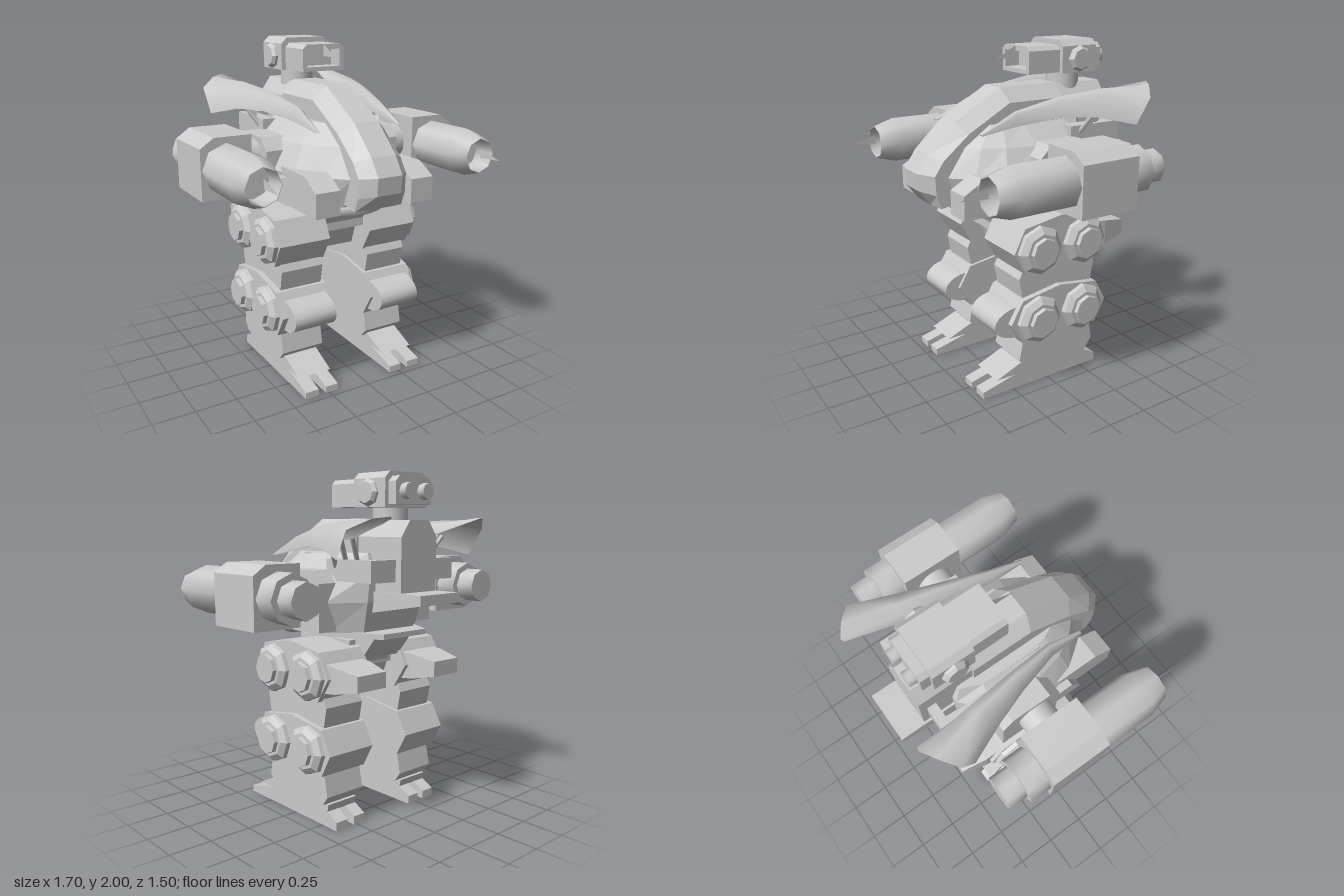
import * as THREE from 'three';
import { toCreasedNormals } from 'three/addons/utils/BufferGeometryUtils.js';

const FLAT = new THREE.MeshStandardMaterial({ color: 0xcccccc, flatShading: true });
const SMOOTH = new THREE.MeshStandardMaterial({ color: 0xcccccc });
const THIN = new THREE.MeshStandardMaterial({ color: 0xcccccc, side: THREE.DoubleSide });
const THIN_FLAT = new THREE.MeshStandardMaterial({ color: 0xcccccc, flatShading: true, side: THREE.DoubleSide });

export function createModel() {
  const root = new THREE.Group();
  root.name = 'walkerRobot';
  let parent = root;
  const add = (name, geo, mat = FLAT) => {
    const m = new THREE.Mesh(geo, mat);
    m.name = name;
    parent.add(m);
    return m;
  };
  const group = (name) => {
    parent = new THREE.Group();
    parent.name = name;
    root.add(parent);
  };
  const box = (name, xa, xb, y0, y1, z0, z1) => add(name,
    new THREE.BoxGeometry(Math.abs(xb - xa), y1 - y0, z1 - z0)
      .translate((xa + xb) / 2, (y0 + y1) / 2, (z0 + z1) / 2));
  const poly = (pts) => new THREE.Shape(pts.map((p) => new THREE.Vector2(...p)));
  const extrude = (shape, depth) => new THREE.ExtrudeGeometry(shape, { depth, bevelEnabled: false });
  // side profile of [z, y] points, swept between two x positions
  const slab = (name, pts, xa, xb, mat) => add(name,
    extrude(poly(pts), Math.abs(xb - xa)).rotateY(-Math.PI / 2).translate(Math.max(xa, xb), 0, 0), mat);
  // front profile of [x, y] points, swept between two z positions
  const prism = (name, pts, z0, z1) => add(name, extrude(poly(pts), z1 - z0).translate(0, 0, z0));
  // eight-sided turned part of [radius, distance] points, along z
  const lathe = (pts, sides = 8) => new THREE.LatheGeometry(pts.map((p) => new THREE.Vector2(...p)), sides);
  const turnedZ = (name, pts, x, y) => add(name,
    toCreasedNormals(lathe(pts).rotateX(Math.PI / 2).translate(x, y, 0), 0.9), SMOOTH);
  // the same, pointing sideways to the side s
  const turnedX = (name, pts, y, z, s, sides) => add(name,
    lathe(pts, sides).rotateZ(-s * Math.PI / 2).translate(0, y, z));
  // skin over rows of [x, y, z] points
  const loft = (name, rows, mat, closed = true) => {
    const n = rows[0].length, idx = [];
    for (let r = 0; r < rows.length - 1; r++)
      for (let i = 0; i < (closed ? n : n - 1); i++) {
        const a = r * n + i, b = r * n + (i + 1) % n;
        idx.push(a, b, b + n, a, b + n, a + n);
      }
    if (closed) [0, rows.length - 1].forEach((r) => {
      for (let i = 1; i < n - 1; i++)
        idx.push(r * n, r * n + i + (r ? 0 : 1), r * n + i + (r ? 1 : 0));
    });
    const g = new THREE.BufferGeometry();
    g.setAttribute('position', new THREE.Float32BufferAttribute(rows.flat(2), 3));
    g.setIndex(idx);
    g.computeVertexNormals();
    return add(name, g, mat);
  };
  const spike = (name, x, pts) =>
    add(name, new THREE.ShapeGeometry(poly(pts)).rotateY(-Math.PI / 2).translate(x, 0, 0), THIN);

  // torso shell: plan outlines stacked upwards, right half mirrored
  group('torso');
  const plan = (y, half) => [
    ...half.map(([x, z]) => [x, y, z]),
    ...half.slice().reverse().map(([x, z]) => [-x, y, z])];
  loft('torsoShell', [
    plan(1.12, [[0.15, 0.45], [0.24, 0.38], [0.32, 0.26], [0.37, 0.08], [0.36, -0.25], [0.2, -0.37]]),
    plan(1.29, [[0.15, 0.52], [0.26, 0.4], [0.36, 0.26], [0.41, 0.08], [0.4, -0.27], [0.2, -0.4]]),
    plan(1.45, [[0.14, 0.42], [0.22, 0.34], [0.29, 0.22], [0.33, 0.05], [0.32, -0.26], [0.18, -0.4]]),
    plan(1.56, [[0.13, 0.28], [0.16, 0.24], [0.19, 0.18], [0.21, 0.05], [0.21, -0.24], [0.16, -0.36]]),
  ], FLAT);
  box('collarBlock', -0.215, 0.215, 1.3, 1.557, -0.245, 0.13);

  // central keel: flat spine with bevelled flanks, [spine z, y, flank z, y]
  const keel = [[0.59, 1.13, 0.56, 1.12], [0.66, 1.22, 0.59, 1.2], [0.667, 1.32, 0.595, 1.31],
    [0.6, 1.42, 0.54, 1.39], [0.43, 1.58, 0.38, 1.52], [0.13, 1.75, 0.11, 1.67], [-0.26, 1.75, -0.26, 1.67]];
  loft('keel', keel.map(([z, y, fz, fy]) => [[-0.155, 1.2, Math.min(fz, 0.1)], [-0.155, fy, fz], [-0.078, y, z],
    [0.078, y, z], [0.155, fy, fz], [0.155, 1.2, Math.min(fz, 0.1)]]), FLAT);
  prism('backBlock', [[-0.14, 1.3], [0.14, 1.3], [0.14, 1.65], [0.075, 1.74], [-0.075, 1.74], [-0.14, 1.65]], -0.595, -0.2);
  slab('tailPlate', [[-0.25, 1.35], [-0.25, 1.2], [-0.39, 1.23], [-0.75, 1.295], [-0.75, 1.35]], -0.155, 0.155);

  // lower lip, waist and pelvis
  const lip = new THREE.CatmullRomCurve3([[-0.29, 1.12, 0.12], [-0.26, 1.1, 0.24], [-0.15, 1.075, 0.34], [0, 1.067, 0.375],
    [0.15, 1.075, 0.34], [0.26, 1.1, 0.24], [0.29, 1.12, 0.12]].map((p) => new THREE.Vector3(...p)));
  add('lowerLip', new THREE.TubeGeometry(lip, 24, 0.038, 8), SMOOTH);
  add('waistPlate', extrude(poly([[-0.3, 0.15], [0.3, 0.15], [0.33, -0.2], [0.17, -0.5], [-0.17, -0.5], [-0.33, -0.2]]), 0.03)
    .rotateX(Math.PI / 2).translate(0, 1.12, 0));
  slab('waist', [[0.2, 0.95], [0.28, 1.1], [-0.42, 1.1], [-0.3, 0.95]], -0.15, 0.15);
  slab('hipBeam', [[0.2, 0.9], [0.2, 1.06], [-0.25, 1.06], [-0.25, 0.9]], -0.2, 0.2);
  slab('pelvis', [[0.12, 0.775], [0.22, 1.06], [-0.3, 1.06], [-0.2, 0.775]], -0.11, 0.11);

  // head with hooded visor and rear lamps
  group('head');
  add('neck', new THREE.CylinderGeometry(0.1, 0.1, 0.15, 16).translate(0, 1.755, -0.37), SMOOTH);
  const cap = (w, b, t, c) => [[-w, b], [w, b], [w, t - c], [w - c, t], [c - w, t], [-w, t - c]];
  prism('skull', cap(0.165, 1.81, 2, 0.035), -0.495, -0.25);
  const hood = poly(cap(0.138, 1.815, 1.97, 0.025));
  hood.holes.push(new THREE.Path([[-0.11, 1.84], [-0.11, 1.94], [0.11, 1.94], [0.11, 1.84]].map((p) => new THREE.Vector2(...p))));
  add('visorHood', extrude(hood, 0.1).translate(0, 0, -0.13));
  prism('visor', cap(0.138, 1.815, 1.97, 0.025), -0.26, -0.13);
  spike('visorSpike', 0, [[-0.03, 1.97], [-0.03, 1.9], [0.1, 1.9]]);
  prism('lampFrame', cap(0.14, 1.825, 1.975, 0.03), -0.55, -0.49);
  for (const s of [-1, 1]) {
    turnedZ('rearLamp', [[0, -0.595], [0.045, -0.595], [0.045, -0.54], [0, -0.54]], s * 0.07, 1.895);
    turnedX('earDisc', [[0, 0.15], [0.075, 0.15], [0.075, 0.18], [0.06, 0.198], [0, 0.198]], 1.89, -0.37, s);
  }

  for (const s of [1, -1]) {
    const side = s > 0 ? 'left' : 'right';

    // shoulder, chest pod and angled back bracket
    group(side + 'Shoulder');
    slab('shoulderBlock', [[0.1, 1.13], [0.1, 1.4], [0.03, 1.47], [-0.22, 1.47], [-0.28, 1.4], [-0.28, 1.13]], s * 0.2, s * 0.45);
    slab('sideSkirt', [[0.12, 1.13], [0.3, 1.13], [0.22, 1.27], [0.12, 1.27]], s * 0.28, s * 0.43);
    slab('chestPod', [[0.15, 1.11], [0.545, 1.11], [0.545, 1.25], [0.42, 1.32], [0.15, 1.32]], s * 0.235, s * 0.385);
    box('bracketPlate', s * 0.13, s * 0.325, 1.41, 1.53, -0.555, -0.5);
    box('bracketArm', s * 0.24, s * 0.325, 1.41, 1.53, -0.5, -0.2);

    // swept wing: arched [x, y, z] sections from a pointed front to a slanted rear edge
    const wing = [
      [[0.26, 1.53, 0.37], [0.26, 1.535, 0.37], [0.27, 1.54, 0.37], [0.28, 1.535, 0.37], [0.28, 1.53, 0.37]],
      [[0.24, 1.57, 0.15], [0.245, 1.625, 0.15], [0.27, 1.645, 0.15], [0.295, 1.63, 0.15], [0.3, 1.565, 0.15]],
      [[0.265, 1.61, -0.1], [0.275, 1.685, -0.1], [0.31, 1.705, -0.1], [0.355, 1.685, -0.1], [0.375, 1.6, -0.1]],
      [[0.295, 1.64, -0.38], [0.31, 1.715, -0.4], [0.36, 1.738, -0.38], [0.425, 1.71, -0.34], [0.445, 1.59, -0.3]],
      [[0.34, 1.745, -0.72], [0.36, 1.755, -0.73], [0.44, 1.745, -0.68], [0.54, 1.69, -0.6], [0.53, 1.54, -0.515]]];
    loft('wing', wing.map((row) => row.map(([x, y, z]) => [s * x, y, z])), THIN, false);
    for (const [x, z] of [[0.25, -0.42], [0.28, -0.36], [0.31, -0.3]]) {
      const a = new THREE.Vector3(s * (x - 0.02), 1.45, z + 0.05), b = new THREE.Vector3(s * (x + 0.11), 1.65, z - 0.03);
      add('wingStrut', new THREE.TubeGeometry(new THREE.LineCurve3(a, b), 1, 0.014, 6), SMOOTH);
    }

    // arm cannon
    group(side + 'Cannon');
    add('armJoint', new THREE.CylinderGeometry(0.108, 0.108, 0.17, 16).rotateZ(Math.PI / 2)
      .translate(s * 0.485, 1.34, -0.065), SMOOTH);
    prism('cannonHousing', [[0.55, 1.17], [0.85, 1.17], [0.85, 1.46], [0.77, 1.515], [0.55, 1.515]]
      .map(([x, y]) => [s * x, y]), -0.245, 0.125);
    turnedZ('barrel', [[0, 0.1], [0.142, 0.1], [0.142, 0.46], [0.104, 0.585], [0.1, 0.585], [0.095, 0.45], [0, 0.45]], s * 0.7, 1.34);
    turnedZ('breech', [[0, -0.49], [0.1, -0.49], [0.1, -0.375], [0.138, -0.375], [0.138, -0.22], [0, -0.22]], s * 0.7, 1.34);
    spike('muzzleSpike', s * 0.7, [[0.585, 1.385], [0.585, 1.33], [0.748, 1.34]]);

    // leg blocks, from hip to ankle
    group(side + 'Leg');
    const [xi, xo] = [s * 0.14, s * 0.465], [ni, no] = [s * 0.16, s * 0.43];
    slab('thigh', [[0.2, 0.745], [0.28, 0.885], [0.21, 1.025], [-0.04, 1.065], [-0.29, 1.025], [-0.37, 0.885], [-0.28, 0.745]], xi, xo);
    loft('thighFin', [[-0.25, 0.17, 0.44, 0.79, 0.97], [-0.39, 0.17, 0.44, 0.805, 0.955], [-0.548, 0.2, 0.41, 0.835, 0.925]]
      .map(([z, a, b, y0, y1]) => [[s * a, y0, z], [s * b, y0, z], [s * b, y1, z], [s * a, y1, z]]), THIN_FLAT);
    slab('kneeJoint', [[0.2, 0.58], [0.225, 0.71], [0.2, 0.76], [-0.29, 0.76], [-0.315, 0.71], [-0.29, 0.58]], ni, no);
    slab('shin', [[0.22, 0.32], [0.3, 0.455], [0.22, 0.59], [-0.04, 0.63], [-0.31, 0.59], [-0.385, 0.455], [-0.31, 0.32]], xi, xo);
    const pad = [[0.15, 0.355]];
    for (let i = 0; i <= 10; i++) {
      const t = -Math.PI / 2 + Math.PI * i / 10;
      pad.push([0.24 + 0.15 * Math.cos(t), 0.45 + 0.095 * Math.sin(t)]);
    }
    const kneePad = slab('kneePad', [...pad, [0.15, 0.545]], ni, no, SMOOTH);
    kneePad.geometry = toCreasedNormals(kneePad.geometry, 0.7);
    slab('ankle', [[0.19, 0.34], [0.22, 0.19], [0.17, 0.135], [-0.04, 0.09], [-0.28, 0.135], [-0.32, 0.19], [-0.29, 0.34]], ni, no);
    for (const y of [0.885, 0.455])
      for (const z of [0.115, -0.2])
        turnedX('jointDisc', [[0, 0.44], [0.15, 0.44], [0.142, 0.49], [0.108, 0.515], [0.088, 0.515], [0.085, 0.54], [0, 0.54]], y, z, s);

    // foot: upper plate over two long toes
    slab('footPlate', [[0.365, 0.09], [0.2, 0.155], [-0.3, 0.135], [-0.29, 0.09]], s * 0.19, s * 0.405);
    for (const [a, b] of [[0.19, 0.27], [0.32, 0.405]])
      slab('toe', [[0.455, 0], [0.455, 0.04], [0.23, 0.092], [-0.29, 0.092], [-0.37, 0.05], [-0.37, 0]], s * a, s * b);
  }
  return root;
}
